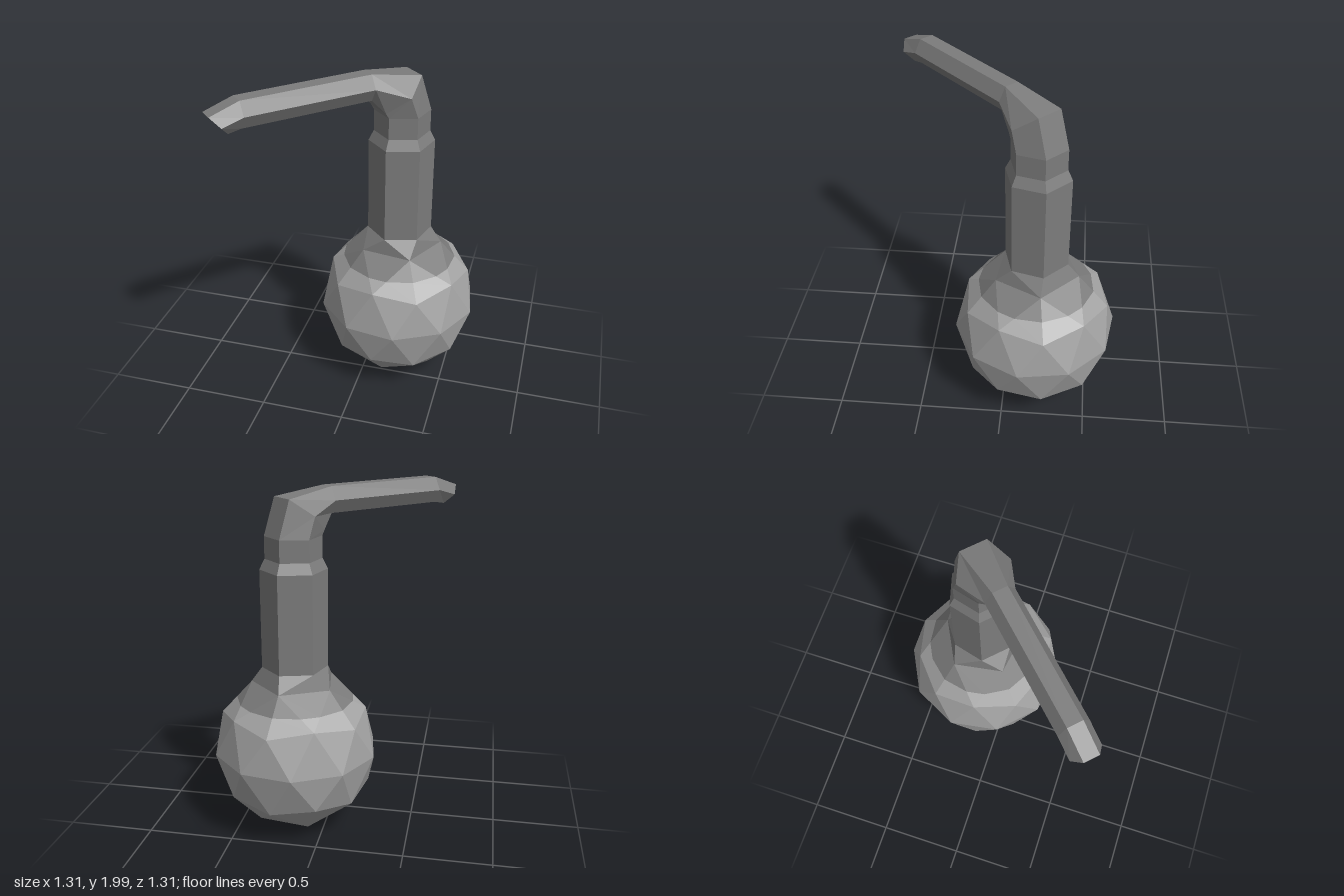
import * as THREE from 'three';

const glass = new THREE.MeshStandardMaterial({ color: 0x7c7c7c, flatShading: true, side: THREE.DoubleSide });
glass.name = 'grey glass';
const liquid = new THREE.MeshStandardMaterial({ color: 0xa3a3a3, flatShading: true, side: THREE.DoubleSide });
liquid.name = 'pale liquid';

const BULB_R = 0.48, BULB_Y = 0.49, LIQUID_Y = 0.8;

function meshFrom(points, material, name) {
  const g = new THREE.BufferGeometry().setFromPoints(points);
  g.computeVertexNormals();
  const m = new THREE.Mesh(g, material);
  m.name = name;
  return m;
}

// Keep the part of a polygon above (sign 1) or below (sign -1) a level
function clip(poly, level, sign) {
  const out = [];
  poly.forEach((a, i) => {
    const b = poly[(i + 1) % poly.length];
    const da = sign * (a.y - level), db = sign * (b.y - level);
    if (da >= 0) out.push(a);
    if (da * db < 0) out.push(a.clone().lerp(b, da / (da - db)));
  });
  return out;
}

// Faceted ball with a vertex at the pole, without the five faces under the neck
function bulbFaces() {
  const g = new THREE.IcosahedronGeometry(BULB_R, 1);
  g.rotateX(-Math.atan((1 + Math.sqrt(5)) / 2));
  g.translate(0, BULB_Y, 0);
  const p = g.attributes.position, faces = [];
  for (let i = 0; i < p.count; i += 3) {
    const tri = [0, 1, 2].map(k => new THREE.Vector3().fromBufferAttribute(p, i + k));
    if (tri.every(v => v.y < BULB_Y + BULB_R * 0.98)) faces.push(tri);
  }
  return faces;
}

function bulbPart(faces, sign, material, name) {
  const pts = [];
  for (const tri of faces) {
    const poly = clip(tri, LIQUID_Y, sign);
    for (let i = 1; i < poly.length - 1; i++) pts.push(poly[0], poly[i], poly[i + 1]);
  }
  return meshFrom(pts, material, name);
}

// Ring of n corners; (vy, vz) points to the inner side of the bend
function ring(n, start, y, z, r, vy, vz) {
  return Array.from({ length: n }, (_, i) => {
    const a = start + i * 2 * Math.PI / n, c = Math.cos(a);
    return new THREE.Vector3(r * Math.sin(a), y + c * vy, z + c * vz);
  });
}
const hex = (...args) => ring(6, Math.PI / 6, ...args);

function loft(rings, material, name) {
  const pts = [];
  for (let k = 0; k < rings.length - 1; k++) {
    const lo = rings[k], hi = rings[k + 1];
    for (let i = 0; i < 6; i++) {
      const j = (i + 1) % 6;
      pts.push(lo[i], lo[j], hi[j], lo[i], hi[j], hi[i]);
    }
  }
  return meshFrom(pts, material, name);
}

// Collar joining the five-sided bulb opening to the six-sided neck
function collar(base, top) {
  const pts = [];
  let p = 0, h = 5;
  for (const step of 'hphphphhphp') {
    if (step === 'h') {
      const n = (h + 1) % 6;
      pts.push(base[p], top[n], top[h]);
      h = n;
    } else {
      const n = (p + 1) % 5;
      pts.push(base[p], base[n], top[h]);
      p = n;
    }
  }
  return meshFrom(pts, glass, 'collar');
}

export function createModel() {
  const model = new THREE.Group();
  model.name = 'retort flask';

  // Built with the spout along +z, then turned to the diagonal
  const flask = new THREE.Group();
  flask.name = 'flask';
  flask.rotation.y = -Math.PI / 4;
  flask.position.set(0.18, 0, -0.18);
  model.add(flask);

  // Bulb
  const faces = bulbFaces();
  flask.add(bulbPart(faces, -1, liquid, 'filled bulb'));
  flask.add(bulbPart(faces, 1, glass, 'bulb shoulder'));

  // Collar and neck
  const openR = BULB_R * 0.5257;
  const neckBase = hex(0.99, 0, 0.19, 0, 0.19);
  const neckTop = hex(1.745, 0, 0.16, 0, 0.16);
  flask.add(collar(ring(5, 0, BULB_Y + BULB_R * 0.8507, 0, openR, 0, openR), neckBase));
  flask.add(loft([
    neckBase,
    hex(1.56, 0, 0.19, 0, 0.19),
    hex(1.62, 0, 0.16, 0, 0.16),
    neckTop,
  ], glass, 'neck'));

  // Elbow
  const spoutStart = hex(1.927, 0.225, 0.085, -0.085, 0);
  flask.add(loft([neckTop, hex(1.865, 0.0425, 0.155, -0.104, 0.13), spoutStart], glass, 'elbow'));

  // Spout with an open, drooping tip
  flask.add(loft([
    spoutStart,
    hex(1.927, 0.975, 0.085, -0.085, 0),
    hex(1.893, 1.095, 0.085, -0.061, -0.053),
  ], glass, 'spout'));

  return model;
}
